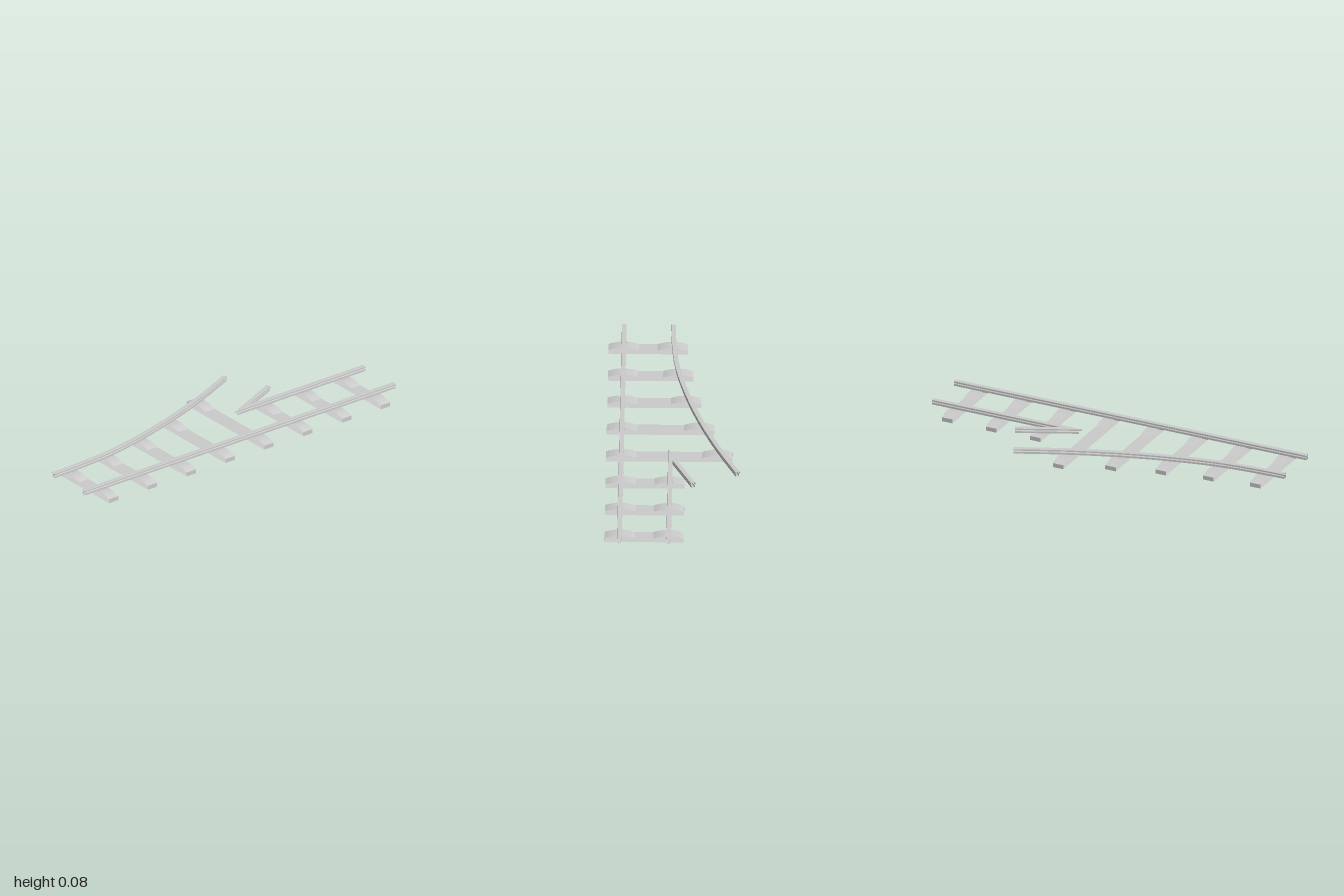
import * as THREE from 'three';

const material = new THREE.MeshStandardMaterial({ color: 0xcccccc, flatShading: true, side: THREE.DoubleSide });

// Half of the rail cross-section (half width, height), mirrored into a closed outline
const half = [[0.009, 0.048], [0.009, 0.058], [0.005, 0.063], [0.012, 0.066], [0.012, 0.0735], [0.0105, 0.0755]];
const railProfile = [...half, ...half.map(([w, y]) => [-w, y]).reverse()];

// Skin a list of equal closed rings, leaving the ends open
function skin(rings) {
  const n = rings[0].length;
  const index = [];
  for (let i = 0; i < rings.length - 1; i++) {
    for (let j = 0; j < n; j++) {
      const a = i * n + j, b = i * n + (j + 1) % n;
      index.push(a, b, a + n, b, b + n, a + n);
    }
  }
  const geometry = new THREE.BufferGeometry();
  geometry.setAttribute('position', new THREE.Float32BufferAttribute(rings.flat(2), 3));
  geometry.setIndex(index);
  const flat = geometry.toNonIndexed();
  flat.computeVertexNormals();
  return flat;
}

// Sweep the rail outline along a ground path of Vector2(x, z), mitred at corners
function rail(name, path) {
  const rings = path.map((p, i) => {
    const before = p.clone().sub(path[Math.max(i - 1, 0)]).normalize();
    const after = path[Math.min(i + 1, path.length - 1)].clone().sub(p).normalize();
    if (i === 0) before.copy(after);
    if (i === path.length - 1) after.copy(before);
    const scale = 1 / (1 + before.dot(after));
    const mx = (before.y + after.y) * scale, mz = -(before.x + after.x) * scale;
    return railProfile.map(([w, y]) => [p.x + mx * w, y, p.y + mz * w]);
  });
  const mesh = new THREE.Mesh(skin(rings), material);
  mesh.name = name;
  return mesh;
}

// Sleeper: flat bar with an arched pad under the rail at each end
function sleeper(x0, x1, z) {
  const pad = 0.155, low = 0.022, rise = 0.015, steps = 8;
  const outline = [[x0, 0], [x1, 0]];
  for (const start of [x1, x0 + pad]) {
    for (let i = 0; i <= steps; i++) {
      const t = i / steps;
      outline.push([start - pad * t, low + rise * 4 * t * (1 - t)]);
    }
  }
  const rings = [0.03, -0.03].map((dz) => outline.map(([x, y]) => [x, y, z + dz]));
  const mesh = new THREE.Mesh(skin(rings), material);
  mesh.name = 'sleeper';
  return mesh;
}

export function createModel() {
  const model = new THREE.Group();
  model.name = 'railSwitch';
  const v = (x, z) => new THREE.Vector2(x, z);

  // Sleepers, longer where the tracks spread apart
  const sleepers = new THREE.Group();
  sleepers.name = 'sleepers';
  [-0.063, -0.063, -0.063, -0.303, -0.207, -0.138, -0.095, -0.063].forEach((left, i) => {
    sleepers.add(sleeper(left, 0.34, -0.882 + i * 0.25));
  });
  model.add(sleepers);

  // Straight outer rail
  model.add(rail('outerRail', [v(0.262, 1), v(0.262, -1)]));

  // Curved rail of the diverging track
  const curve = new THREE.SplineCurve([
    v(0.012, 1), v(0.005, 0.8), v(-0.015, 0.6), v(-0.063, 0.37),
    v(-0.135, 0.12), v(-0.226, -0.13), v(-0.331, -0.37),
  ]);
  model.add(rail('curvedRail', curve.getPoints(18)));

  // Pointed crossing rail: straight run folding back along the branch
  model.add(rail('crossingRail', [v(0.012, -1), v(0.012, -0.215), v(-0.107, -0.475)]));

  return model;
}
